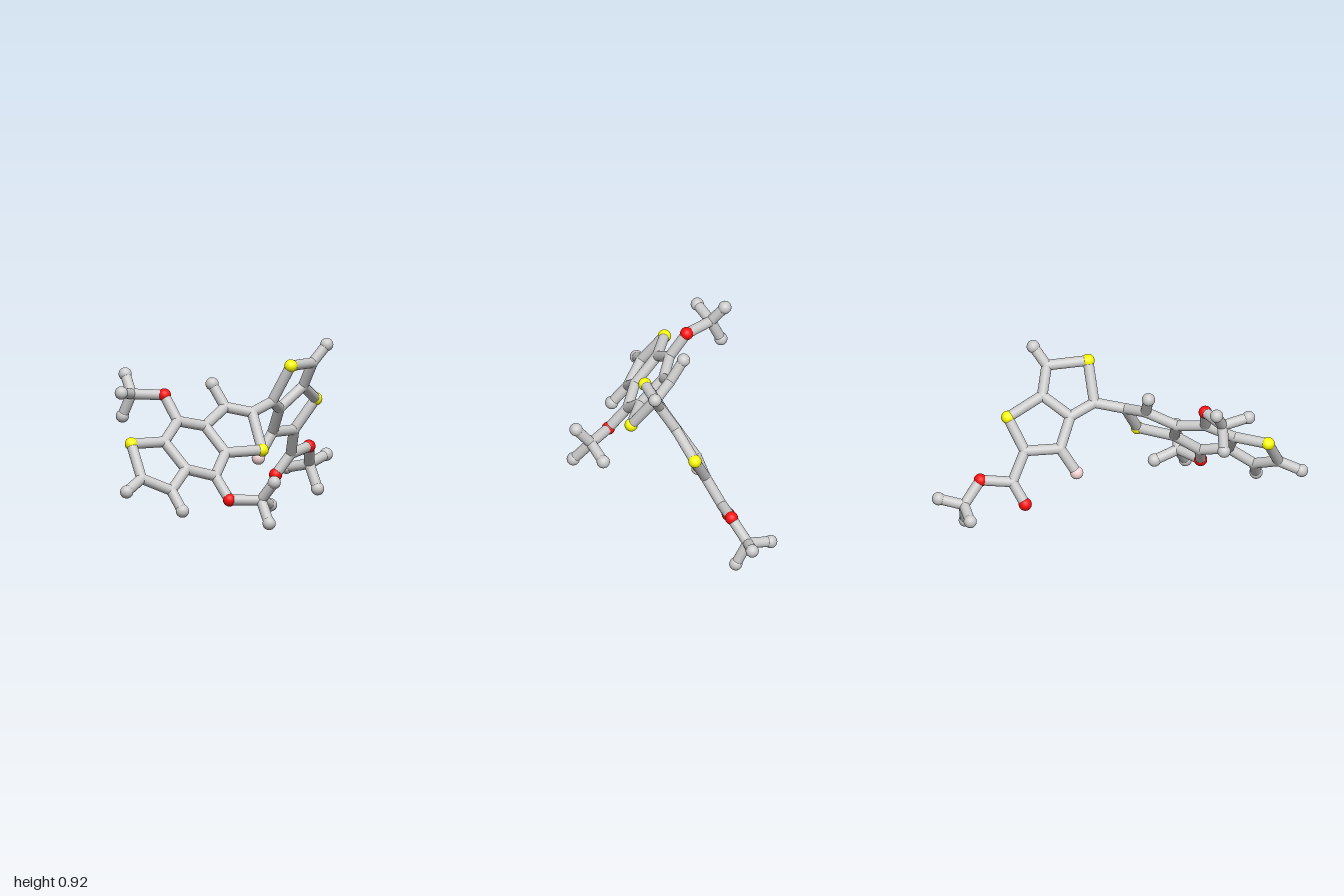
import * as THREE from 'three';

const BALL = 0.035, STICK = 0.028;

const materials = {
  grey: new THREE.MeshStandardMaterial({ color: 0xcccccc }),
  yellow: new THREE.MeshStandardMaterial({ color: 0xffff00 }),
  red: new THREE.MeshStandardMaterial({ color: 0xff0d0d }),
  pink: new THREE.MeshStandardMaterial({ color: 0xf5d5d5 }),
};

// Atom centres by kind: joints are ring and chain carbons, ends are outer tips
const atoms = {
  joint: {
    a1: [-0.843, 0.302, -0.065], a2: [-0.72, 0.233, 0.04], a3: [-0.585, 0.33, 0.037],
    a4: [-0.607, 0.468, -0.09], b1: [-0.452, 0.557, -0.117], b2: [-0.307, 0.52, -0.045],
    b3: [-0.3, 0.388, 0.085], b4: [-0.436, 0.282, 0.118], c1: [-0.142, 0.602, -0.035],
    c2: [-0.04, 0.57, 0.068], d1: [0.125, 0.607, 0.075], d2: [0.372, 0.794, 0.16],
    d3: [0.4, 0.658, 0.077], d4: [0.254, 0.553, 0.03], e1: [0.5, 0.4, -0.057],
    e2: [0.313, 0.41, -0.06], acid: [0.57, 0.255, -0.13],
    upperMethyl: [-0.53, 0.69, -0.363], lowerMethyl: [-0.335, 0.162, 0.345],
    esterMethyl: [0.83, 0.164, -0.202],
  },
  sulphur: {
    s1: [-0.783, 0.47, -0.177], s2: [-0.11, 0.388, 0.185],
    s3: [0.152, 0.805, 0.18], s4: [0.586, 0.562, 0.022],
  },
  oxygen: {
    o1: [-0.447, 0.688, -0.209], o2: [-0.447, 0.165, 0.22],
    o3: [0.505, 0.147, -0.182], o4: [0.74, 0.275, -0.137],
  },
  fluorine: { f1: [0.227, 0.278, -0.09] },
  end: {
    h1: [-0.965, 0.245, -0.073], h2: [-0.735, 0.132, 0.124], h3: [-0.152, 0.72, -0.113],
    h4: [0.441, 0.886, 0.202],
    u1: [-0.67, 0.715, -0.327], u2: [-0.495, 0.786, -0.431], u3: [-0.535, 0.567, -0.42],
    l1: [-0.33, 0.263, 0.428], l2: [-0.207, 0.118, 0.312], l3: [-0.378, 0.05, 0.43],
    m1: [0.965, 0.199, -0.19], m2: [0.82, 0.037, -0.139], m3: [0.805, 0.136, -0.334],
  },
};

const look = {
  joint: ['grey', STICK * 1.04], sulphur: ['yellow', BALL], oxygen: ['red', BALL],
  fluorine: ['pink', BALL], end: ['grey', BALL],
};

// Chains of bonded atoms; rings close on their first atom
const chains = {
  outerRing: 's1 a1 a2 a3 a4 s1',
  middleRing: 'a4 b1 b2 b3 b4 a3',
  innerRing: 'b2 c1 c2 s2 b3',
  ringLink: 'c2 d1',
  upperRing: 'd1 s3 d2 d3 d4 d1',
  lowerRing: 'd3 s4 e1 e2 d4',
  outerTips: 'h1 a1|h2 a2|h3 c1|h4 d2|f1 e2',
  upperMethoxy: 'b1 o1 upperMethyl u1|upperMethyl u2|upperMethyl u3',
  lowerMethoxy: 'b4 o2 lowerMethyl l1|lowerMethyl l2|lowerMethyl l3',
  esterArm: 'e1 acid o4 esterMethyl m1|esterMethyl m2|esterMethyl m3|acid o3',
};

export function createModel() {
  const model = new THREE.Group();
  model.name = 'molecule';
  const centre = {};

  // Balls
  for (const [kind, list] of Object.entries(atoms)) {
    const [color, radius] = look[kind];
    const geometry = new THREE.SphereGeometry(radius, 24, 16);
    const group = new THREE.Group();
    group.name = kind + 'Atoms';
    for (const [id, p] of Object.entries(list)) {
      centre[id] = new THREE.Vector3(...p);
      const ball = new THREE.Mesh(geometry, materials[color]);
      ball.name = kind + 'Ball';
      ball.position.copy(centre[id]);
      group.add(ball);
    }
    model.add(group);
  }

  // Sticks between neighbouring balls
  const up = new THREE.Vector3(0, 1, 0);
  const stickGeometry = new THREE.CylinderGeometry(STICK, STICK, 1, 20, 1, true);
  function addStick(group, a, b) {
    const along = b.clone().sub(a);
    const stick = new THREE.Mesh(stickGeometry, materials.grey);
    stick.name = 'bond';
    stick.position.copy(a).lerp(b, 0.5);
    stick.scale.y = along.length();
    stick.quaternion.setFromUnitVectors(up, along.normalize());
    group.add(stick);
  }
  for (const [name, text] of Object.entries(chains)) {
    const group = new THREE.Group();
    group.name = name;
    for (const chain of text.split('|')) {
      const ids = chain.split(' ');
      for (let i = 1; i < ids.length; i++) addStick(group, centre[ids[i - 1]], centre[ids[i]]);
    }
    model.add(group);
  }
  return model;
}
